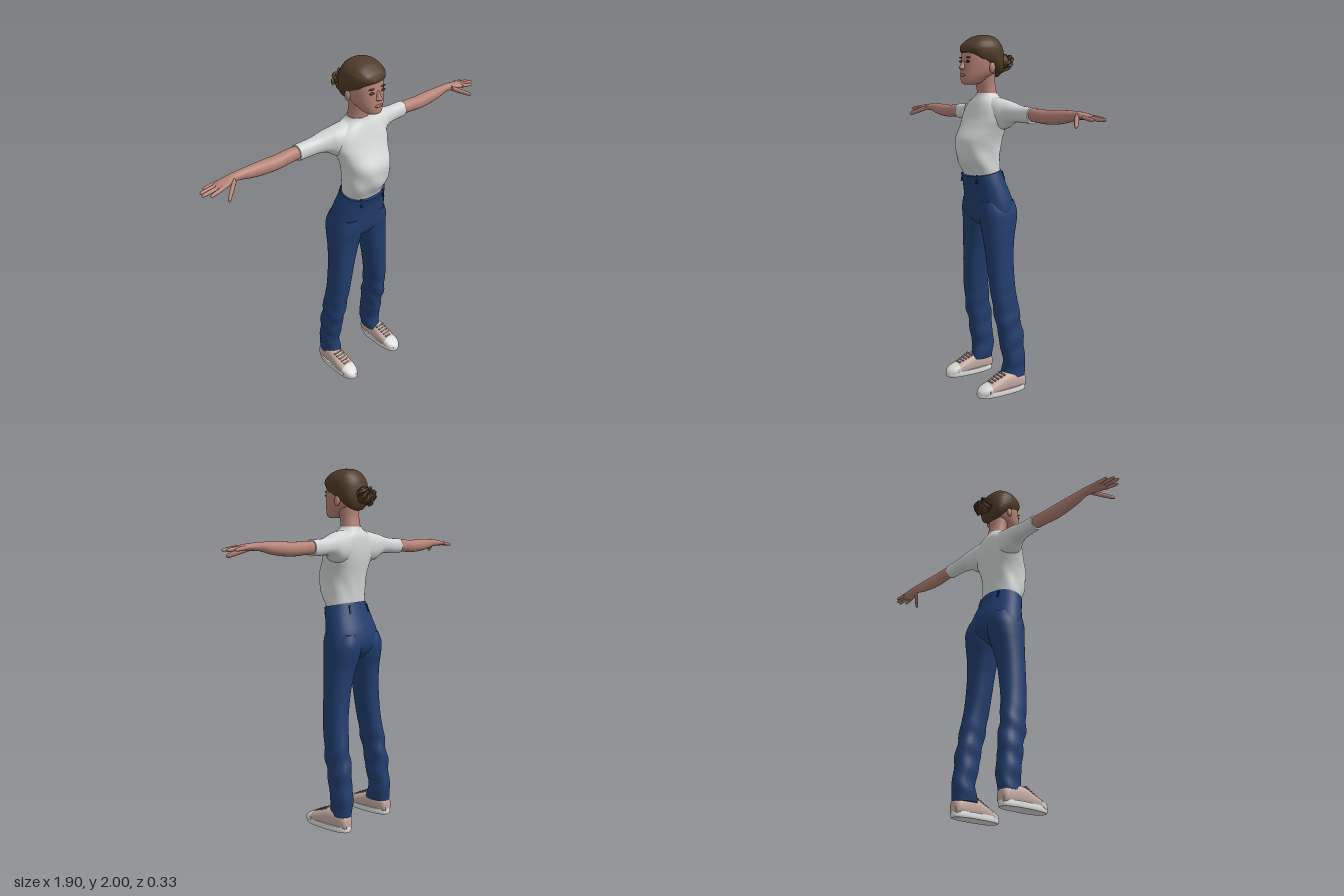
import * as THREE from 'three';

const material = (name, color, side = THREE.FrontSide) => {
  const m = new THREE.MeshStandardMaterial({ color, side });
  m.name = name;
  return m;
};

// Skin over cross-sections. Each row is [t, uMin, uMax, vMin, vMax]; t runs along the axis (0 x, 1 y, 2 z),
// u and v are the next two axes in turn. pow above 2 squares off the section; warp moves each point.
function loft(axis, rows, { n = 32, steps = 5, pow = 2, warp } = {}) {
  rows = [...rows].sort((a, b) => a[0] - b[0]);
  const at = i => rows[Math.max(0, Math.min(rows.length - 1, i))];
  const rings = [];
  for (let i = 0; i < rows.length - 1; i++) {
    for (let k = 0; k < steps; k++) {
      const s = k / steps;
      rings.push(rows[i].map((b, c) => {
        const a = at(i - 1)[c], d = at(i + 1)[c], e = at(i + 2)[c];
        return b + 0.5 * s * (d - a + s * (2 * a - 5 * b + 4 * d - e + s * (3 * (b - d) + e - a)));
      }));
    }
  }
  rings.push(rows[rows.length - 1]);
  const pos = [], index = [], bend = (x) => Math.sign(x) * Math.abs(x) ** (2 / pow);
  const put = (t, u, v) => {
    const p = new THREE.Vector3();
    p.setComponent(axis, t).setComponent((axis + 1) % 3, u).setComponent((axis + 2) % 3, v);
    if (warp) warp(p);
    return pos.push(p.x, p.y, p.z) / 3 - 1;
  };
  const ring = ([t, u0, u1, v0, v1]) => {
    const first = pos.length / 3;
    for (let i = 0; i < n; i++) {
      const a = (i / n) * Math.PI * 2;
      put(t, (u0 + u1) / 2 + (u1 - u0) / 2 * bend(Math.cos(a)), (v0 + v1) / 2 + (v1 - v0) / 2 * bend(Math.sin(a)));
    }
    return first;
  };
  const starts = rings.map(ring);
  for (let j = 0; j + 1 < starts.length; j++) {
    for (let i = 0; i < n; i++) {
      const a = starts[j] + i, b = starts[j] + (i + 1) % n, c = a + n, d = b + n;
      index.push(a, b, d, a, d, c);
    }
  }
  [rings[0], rings[rings.length - 1]].forEach((r, end) => {
    const f = ring(r), c = put(r[0], (r[1] + r[2]) / 2, (r[3] + r[4]) / 2);
    for (let i = 0; i < n; i++) {
      const a = f + i, b = f + (i + 1) % n;
      if (end) index.push(c, a, b); else index.push(c, b, a);
    }
  });
  const g = new THREE.BufferGeometry();
  g.setAttribute('position', new THREE.Float32BufferAttribute(pos, 3));
  g.setIndex(index);
  g.computeVertexNormals();
  return g;
}

// Vertical loft that is symmetric about x = 0: rows are [y, zMin, zMax, halfWidth]
const column = (rows, opts) => loft(1, rows.map(([y, a, b, w]) => [y, a, b, -w, w]), opts);

const blob = (x, y, z, rx, ry, rz) => new THREE.SphereGeometry(1, 20, 14).scale(rx, ry, rz).translate(x, y, z);

function mirrored(geo) {
  const g = geo.clone().scale(-1, 1, 1), id = g.index.array;
  for (let i = 0; i < id.length; i += 3) [id[i], id[i + 1]] = [id[i + 1], id[i]];
  return g;
}

export function createModel() {
  const model = new THREE.Group();
  model.name = 'standingWoman';
  const shirt = material('shirt white', 0xd2d6d4), denim = material('denim blue', 0x213d6e);
  const skin = material('skin', 0xb58275), hair = material('hair brown', 0x4f3b28);
  const white = material('sole white', 0xdcdddb), canvas = material('shoe canvas', 0xc4aba1);
  const lace = material('lace grey', 0x746a64), lip = material('lips', 0x9c615a);
  const dark = material('eye dark', 0x33261f), seam = material('seam navy', 0x14223f);

  const add = (name, geo, mat) => {
    const m = new THREE.Mesh(geo, mat);
    m.name = name;
    model.add(m);
  };
  const pair = (name, geo, mat) => {
    add(name + 'Left', geo, mat);
    add(name + 'Right', mirrored(geo), mat);
  };

  // Shirt body, with soft folds below the bust
  add('shirtBody', column([
    [1.2, -.06, .09, .11], [1.26, -.066, .113, .126], [1.32, -.07, .148, .128], [1.38, -.076, .159, .129],
    [1.44, -.085, .157, .138], [1.5, -.095, .122, .155], [1.55, -.1, .095, .172], [1.6, -.1, .076, .165],
    [1.64, -.095, .06, .13], [1.67, -.08, .045, .075], [1.688, -.072, .038, .06],
  ], {
    n: 48, pow: 2.3, warp: p => {
      const w = THREE.MathUtils.smoothstep(1.45 - p.y, 0, .1) * THREE.MathUtils.smoothstep(p.y, 1.25, 1.31);
      const k = 1 + .025 * w * Math.sin(7 * Math.atan2(p.x, p.z) + p.y * 25);
      p.x *= k;
      p.z *= k;
    },
  }), shirt);
  pair('sleeve', loft(0, [
    [.03, 1.5, 1.668, -.085, .035], [.1, 1.49, 1.667, -.097, .045], [.16, 1.5, 1.655, -.102, .035],
    [.2, 1.528, 1.645, -.102, .012], [.25, 1.538, 1.63, -.101, -.008], [.3, 1.536, 1.623, -.101, -.02],
    [.375, 1.535, 1.621, -.102, -.025],
  ], { pow: 2.2 }), shirt);

  // Arms and hands
  pair('arm', loft(0, [
    [.33, 1.546, 1.612, -.096, -.033], [.42, 1.543, 1.614, -.098, -.03], [.5, 1.538, 1.61, -.1, -.027],
    [.58, 1.541, 1.613, -.098, -.029], [.66, 1.552, 1.614, -.092, -.034], [.73, 1.568, 1.612, -.09, -.041],
    [.77, 1.571, 1.61, -.09, -.035], [.81, 1.573, 1.605, -.091, -.018], [.845, 1.574, 1.599, -.09, -.011],
    [.862, 1.578, 1.594, -.085, -.015],
  ], { n: 24, pow: 2.1 }), skin);
  const finger = (from, to, r) => {
    const a = new THREE.Vector3(...from), b = new THREE.Vector3(...to);
    return loft(0, [[0, 1], [.5, .95], [.85, .8], [.96, .55], [1, .15]].map(([s, k]) => {
      const p = a.clone().lerp(b, s);
      return [p.x, p.y - r * k, p.y + r * k, p.z - r * k, p.z + r * k];
    }), { n: 12, steps: 3 });
  };
  [[.91, -.09, -.081], [.94, -.066, -.062], [.948, -.04, -.041], [.918, -.01, -.02]].forEach(([x, z, z0], i) =>
    pair('finger' + (i + 1), finger([.835, 1.588, z0], [x, 1.577, z], .0105), skin));
  pair('thumb', finger([.765, 1.588, -.04], [.855, 1.545, .037], .015), skin);

  // Neck and head
  add('neck', column([
    [1.64, -.072, .035, .062], [1.69, -.068, .036, .058], [1.74, -.06, .045, .056], [1.8, -.06, .06, .06],
  ]), skin);
  add('head', column([
    [1.735, .065, .122, .028], [1.745, .03, .138, .045], [1.77, -.01, .141, .063], [1.8, -.06, .139, .079],
    [1.84, -.08, .135, .088], [1.88, -.085, .131, .091], [1.93, -.08, .118, .085], [1.97, -.05, .075, .05],
  ], { pow: 2.2 }), skin);
  add('nose', column([
    [1.812, .1, .14, .013], [1.822, .1, .159, .018], [1.835, .1, .154, .014], [1.868, .1, .134, .009],
  ], { n: 16 }), skin);
  add('lips', blob(0, 1.786, .138, .024, .008, .009), lip);
  pair('eye', blob(.037, 1.858, .127, .016, .007, .006), dark);
  pair('eyebrow', blob(.038, 1.879, .125, .02, .004, .006), hair);
  pair('ear', blob(.09, 1.825, .005, .012, .028, .018), skin);

  // Hair swept back from the forehead, with fine strand ridges
  add('hairCap', loft(2, [
    [.133, -.025, .025, 1.908, 1.925], [.12, -.06, .06, 1.9, 1.95], [.1, -.08, .08, 1.88, 1.968],
    [.07, -.096, .096, 1.845, 1.988], [.035, -.104, .104, 1.825, 1.998], [0, -.107, .107, 1.81, 2],
    [-.04, -.102, .102, 1.785, 1.993], [-.07, -.086, .086, 1.775, 1.97], [-.09, -.06, .06, 1.8, 1.94],
    [-.103, -.025, .025, 1.84, 1.9],
  ], {
    n: 64, pow: 2.4, warp: p => {
      const k = 1 + .008 * Math.sin(24 * Math.atan2(p.x, p.y - 1.88));
      p.x *= k;
    },
  }), hair);
  // Loose bun made of a core and short curls
  add('bunCore', blob(0, 1.86, -.112, .05, .042, .036), hair);
  let seed = 7;
  const rand = () => (seed = (seed * 16807) % 2147483647) / 2147483647;
  for (let i = 0; i < 22; i++) {
    const a = i * 2.4, r = .4 + .6 * rand(), dx = Math.cos(a) * .07 * r, dy = Math.sin(a) * .052 * r - .006;
    const curl = new THREE.CatmullRomCurve3([
      new THREE.Vector3(dx * .2, 1.86 + dy * .2, -.105),
      new THREE.Vector3(dx * .6, 1.872 + dy * .6, -.142 - .012 * rand()),
      new THREE.Vector3(dx, 1.86 + dy, -.135 - .015 * rand()),
      new THREE.Vector3(dx * 1.1, 1.848 + dy, -.118),
    ]);
    add('bunCurl', new THREE.TubeGeometry(curl, 10, .0085, 6), hair);
  }

  // Trousers: hips with a waist that dips at the front, then two legs
  add('hips', column([
    [1.26, -.073, .12, .133], [1.2, -.096, .104, .15], [1.12, -.13, .09, .17], [1.05, -.142, .08, .181],
    [1, -.125, .07, .172], [.965, -.09, .045, .12], [.945, -.05, .01, .05],
  ], {
    n: 48, pow: 2.2, warp: p => { p.y -= .2 * p.z * THREE.MathUtils.clamp((p.y - 1.15) / .11, 0, 1); },
  }), denim);
  pair('trouserLeg', loft(1, [
    [1.1, -.125, .075, .02, .16], [1.04, -.142, .077, .005, .181], [.97, -.133, .069, .006, .187],
    [.9, -.115, .062, .026, .19], [.8, -.102, .055, .052, .194], [.7, -.1, .05, .071, .2],
    [.6, -.105, .044, .089, .206], [.5, -.12, .031, .102, .214], [.4, -.137, .015, .11, .219],
    [.3, -.15, -.005, .114, .222], [.2, -.16, -.024, .117, .223], [.13, -.161, -.024, .12, .222],
    [.085, -.16, -.012, .123, .22],
  ], {
    pow: 2.3, warp: p => {
      const w = .004 * THREE.MathUtils.smoothstep(.6 - p.y, 0, .2);
      p.x += w * Math.sin(p.y * 50 + p.z * 20);
      p.z += w * Math.sin(p.y * 38 + p.x * 25);
    },
  }), denim);
  for (const [x, y, z, turn] of [[.08, 1.222, .097, .35], [.075, 1.236, -.076, -.35]]) {
    const loop = new THREE.BoxGeometry(.011, .048, .009).rotateX(z > 0 ? -.2 : .3).rotateY(turn).translate(x, y, z);
    pair('beltLoop', loop, seam);
  }

  // Shoes: sole, canvas upper, toe cap and laces
  pair('shoeSole', loft(1, [
    [0, -.157, .15, .129, .231], [.012, -.16, .155, .126, .234], [.032, -.157, .153, .128, .232],
  ], { n: 40, pow: 2.6, steps: 3 }), white);
  pair('shoeUpper', loft(2, [
    [-.156, .155, .205, .015, .08], [-.14, .141, .219, .01, .1], [-.08, .134, .225, .005, .12],
    [-.02, .132, .228, .005, .117], [.04, .131, .23, .005, .093], [.1, .132, .23, .005, .066],
  ], { pow: 2.4 }), canvas);
  pair('toeCap', loft(2, [
    [.085, .131, .231, .005, .074], [.12, .138, .225, .005, .06], [.142, .153, .21, .006, .046],
    [.154, .17, .193, .012, .03],
  ], { pow: 2.4 }), white);
  for (let i = 0; i < 5; i++) {
    const z = -.005 + i * .019;
    pair('lace', new THREE.BoxGeometry(.058 - i * .004, .009, .01).rotateX(.4).translate(.181, .112 - i * .0083, z), lace);
  }
  return model;
}
